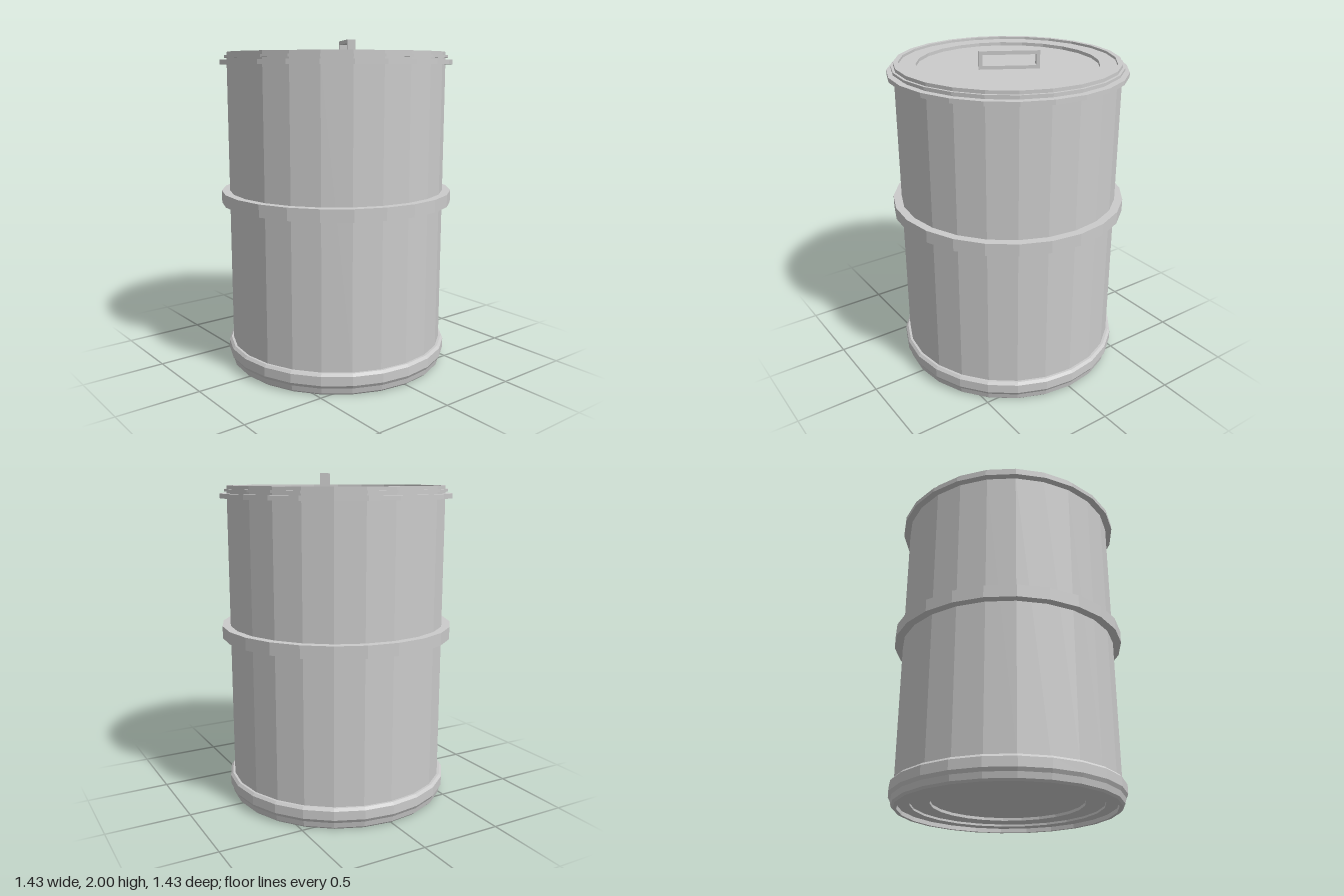
import * as THREE from 'three';

const SIDES = 24;
const metal = new THREE.MeshStandardMaterial({ color: 0xcccccc, flatShading: true });

// Turned part: profile of [radius, height] pairs, running upwards on the outside
function turned(name, profile) {
  const points = profile.map(([r, y]) => new THREE.Vector2(r, y));
  const mesh = new THREE.Mesh(new THREE.LatheGeometry(points, SIDES), metal);
  mesh.name = name;
  return mesh;
}

// Upright rectangular loop set at an angle in the lid
function makeHandle() {
  const length = 0.352, bottom = 1.893, top = 2, bar = 0.022, depth = 0.048;
  const a = length / 2, b = a - bar;
  const shape = new THREE.Shape([
    new THREE.Vector2(-a, bottom), new THREE.Vector2(a, bottom),
    new THREE.Vector2(a, top), new THREE.Vector2(-a, top),
  ]);
  shape.holes.push(new THREE.Path([
    new THREE.Vector2(-b, bottom + bar), new THREE.Vector2(-b, top - bar),
    new THREE.Vector2(b, top - bar), new THREE.Vector2(b, bottom + bar),
  ]));
  const geometry = new THREE.ExtrudeGeometry(shape, { depth, bevelEnabled: false });
  geometry.translate(0, 0, -depth / 2);
  const mesh = new THREE.Mesh(geometry, metal);
  mesh.name = 'handle';
  mesh.rotation.y = Math.PI / 3;
  mesh.position.set(0.059, 0, 0.033);
  return mesh;
}

export function createModel() {
  const model = new THREE.Group();
  model.name = 'drum';
  model.add(
    // Base with a stepped hollow underneath
    turned('base', [
      [0, 0.055], [0.452, 0.055], [0.452, 0.038], [0.567, 0.038], [0.567, 0.025],
      [0.64, 0.025], [0.64, 0], [0.66, 0], [0.673, 0.012], [0.68, 0.045],
      [0.692, 0.065], [0.692, 0.12], [0.678, 0.135], [0.664, 0.135],
    ]),
    turned('body', [[0.664, 0.135], [0.664, 1.857]]),
    turned('middleBand', [[0.664, 1.015], [0.714, 1.015], [0.714, 1.09], [0.664, 1.09]]),
    // Lid with flange, bead, rim and sunken top
    turned('lid', [
      [0.664, 1.857], [0.705, 1.857], [0.705, 1.884], [0.664, 1.884], [0.664, 1.895],
      [0.679, 1.895], [0.679, 1.91], [0.664, 1.91], [0.664, 1.93], [0.635, 1.93],
      [0.635, 1.915], [0.535, 1.915], [0.535, 1.895], [0, 1.895],
    ]),
    makeHandle(),
  );
  return model;
}
